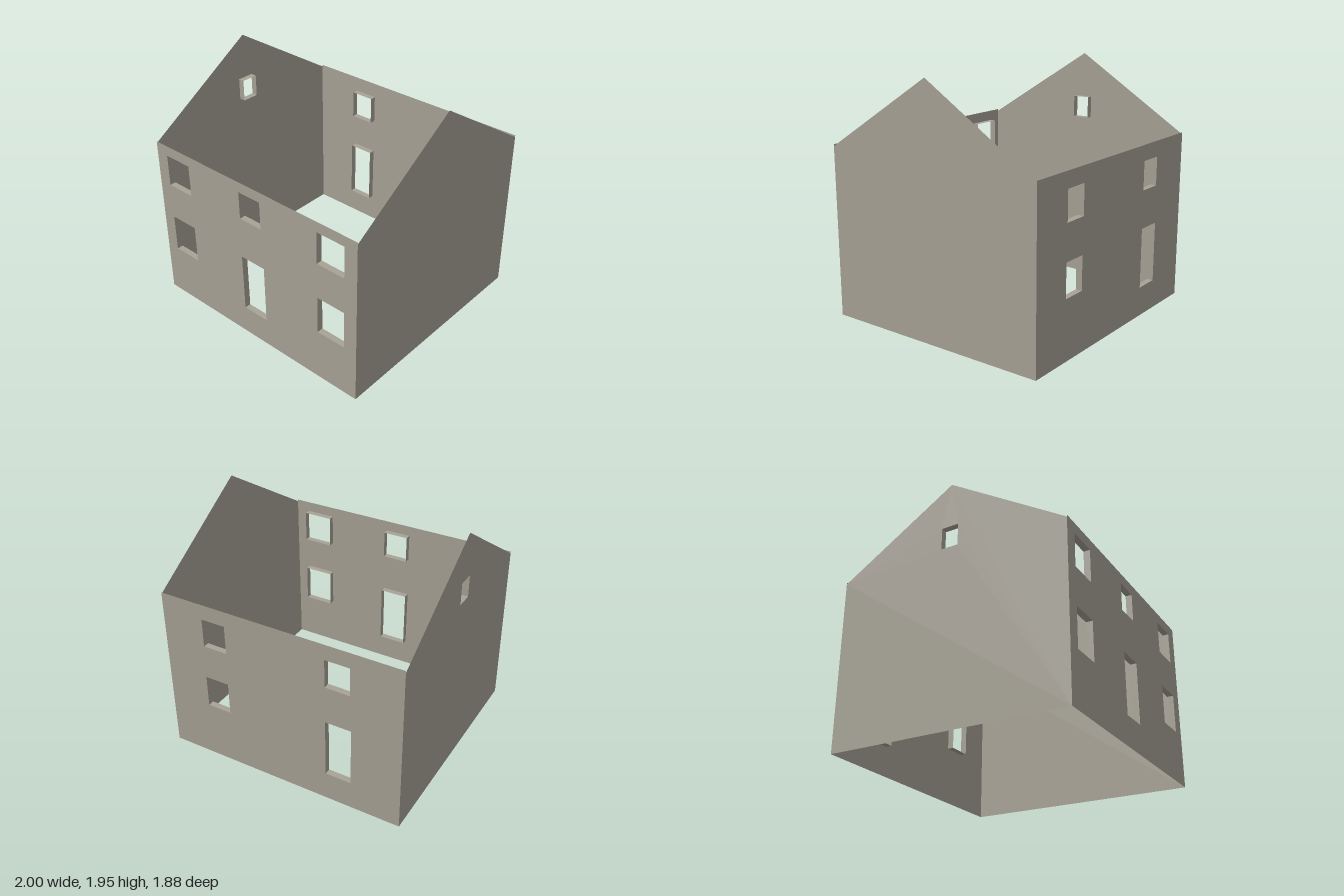
import * as THREE from 'three';

const HALF_X = 1, HALF_Z = 0.94, DEPTH = 0.05;
const WALL_H = 1.375, EAVE_H = 1.36, RIDGE_H = 1.95;

// Closed loop of points for an opening [left, bottom, right, top]
const corners = ([l, b, r, t]) => [[l, b], [r, b], [r, t], [l, t]].map(p => new THREE.Vector2(...p));

// Four-sided lining of an opening, running inward from the wall sheet
function revealGeometry(opening) {
  const pts = corners(opening);
  const pos = [];
  pts.forEach((a, i) => {
    const b = pts[(i + 1) % 4];
    const quad = [[a.x, a.y, 0], [b.x, b.y, 0], [b.x, b.y, -DEPTH], [a.x, a.y, -DEPTH]];
    for (const k of [0, 2, 1, 0, 3, 2]) pos.push(...quad[k]);
  });
  const geo = new THREE.BufferGeometry();
  geo.setAttribute('position', new THREE.Float32BufferAttribute(pos, 3));
  geo.computeVertexNormals();
  return geo;
}

// Thin wall sheet facing local +z, with its openings and their linings
function makeWall(name, outline, openings, distance, angle, material) {
  const wall = new THREE.Group();
  wall.name = name;
  const shape = new THREE.Shape(outline.map(p => new THREE.Vector2(...p)));
  for (const { rect } of openings) shape.holes.push(new THREE.Path(corners(rect).reverse()));
  const sheet = new THREE.Mesh(new THREE.ShapeGeometry(shape), material);
  sheet.name = name + 'Sheet';
  wall.add(sheet);
  for (const { part, rect } of openings) {
    const reveal = new THREE.Mesh(revealGeometry(rect), material);
    reveal.name = part;
    wall.add(reveal);
  }
  wall.rotation.y = angle;
  wall.position.set(Math.sin(angle) * distance, 0, Math.cos(angle) * distance);
  return wall;
}

export function createModel() {
  const stone = new THREE.MeshStandardMaterial({ color: 0xa8a396, side: THREE.DoubleSide });
  stone.name = 'stone';
  const house = new THREE.Group();
  house.name = 'house';

  const rectangle = [[-HALF_X, 0], [HALF_X, 0], [HALF_X, WALL_H], [-HALF_X, WALL_H]];
  const gable = [[-HALF_Z, 0], [HALF_Z, 0], [HALF_Z, EAVE_H], [0, RIDGE_H], [-HALF_Z, EAVE_H]];

  // Front: symmetrical windows around a central door
  const front = [
    { part: 'frontDoorway', rect: [-0.115, 0.235, 0.115, 0.72] },
    { part: 'frontMiddleWindow', rect: [-0.107, 1.065, 0.103, 1.29] },
  ];
  for (const [l, r] of [[-0.89, -0.645], [0.642, 0.888]]) {
    front.push({ part: 'frontUpperWindow', rect: [l, 1.03, r, 1.29] });
    front.push({ part: 'frontLowerWindow', rect: [l, 0.425, r, 0.735] });
  }

  // Back: u runs along -x
  const back = [
    { part: 'backDoorway', rect: [0.39, 0.235, 0.6, 0.715] },
    { part: 'backUpperWindow', rect: [0.39, 1.02, 0.59, 1.25] },
    { part: 'backUpperWindow', rect: [-0.645, 1.015, -0.445, 1.25] },
    { part: 'backLowerWindow', rect: [-0.652, 0.47, -0.452, 0.735] },
  ];

  const attic = [{ part: 'atticWindow', rect: [-0.073, 1.41, 0.065, 1.585] }];

  house.add(
    makeWall('frontWall', rectangle, front, HALF_Z, 0, stone),
    makeWall('backWall', rectangle, back, HALF_Z, Math.PI, stone),
    makeWall('leftGable', gable, [], HALF_X, Math.PI / 2, stone),
    makeWall('rightGable', gable, attic, HALF_X, -Math.PI / 2, stone),
  );
  return house;
}
